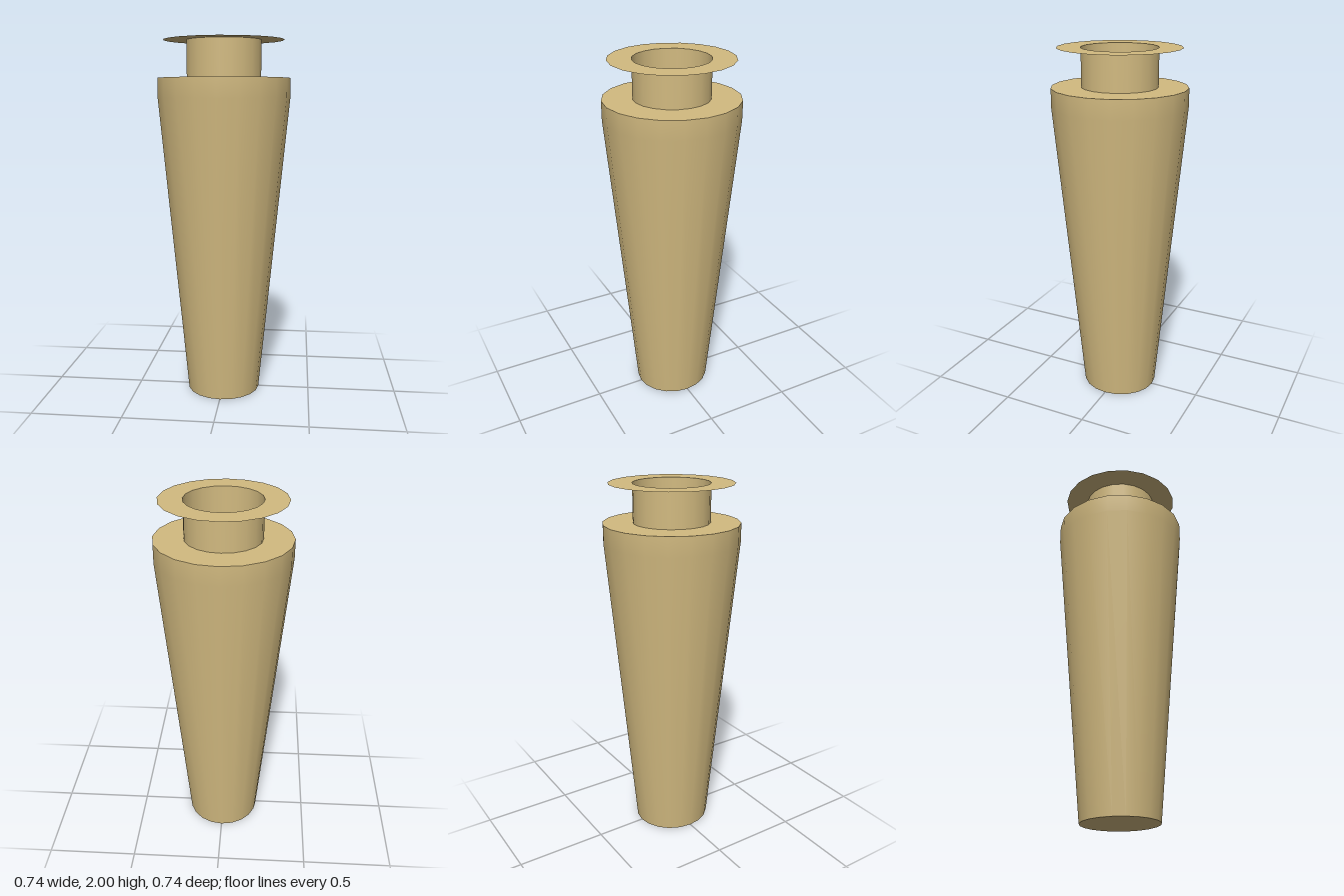
import * as THREE from 'three';

const SIDES = 20;

export function createModel() {
  const group = new THREE.Group();
  const tan = new THREE.MeshStandardMaterial({ color: 0xd2ba80, side: THREE.DoubleSide });
  tan.name = 'tan';

  // Thin turned surface from [radius, height] pairs
  const turned = (name, profile) => {
    const points = profile.map(([r, y]) => new THREE.Vector2(r, y));
    const mesh = new THREE.Mesh(new THREE.LatheGeometry(points, SIDES), tan);
    mesh.name = name;
    group.add(mesh);
    return mesh;
  };

  // Tapered body, its foot slightly narrower across x
  const body = turned('body', [[0.217, 0], [0.369, 1.69], [0.369, 1.795]]);
  const pos = body.geometry.attributes.position;
  for (let i = 0; i < pos.count; i++) {
    if (pos.getY(i) < 0.01) pos.setX(i, pos.getX(i) * 0.952);
  }

  // Closed foot
  const base = turned('base', [[0, 0], [0.217, 0]]);
  base.scale.x = 0.952;

  // Flat shoulder, open neck and paper-thin rim
  turned('shoulder', [[0.369, 1.795], [0.207, 1.795]]);
  turned('neck', [[0.207, 1.795], [0.207, 2]]);
  turned('rim', [[0.335, 2], [0.207, 2]]);

  return group;
}
